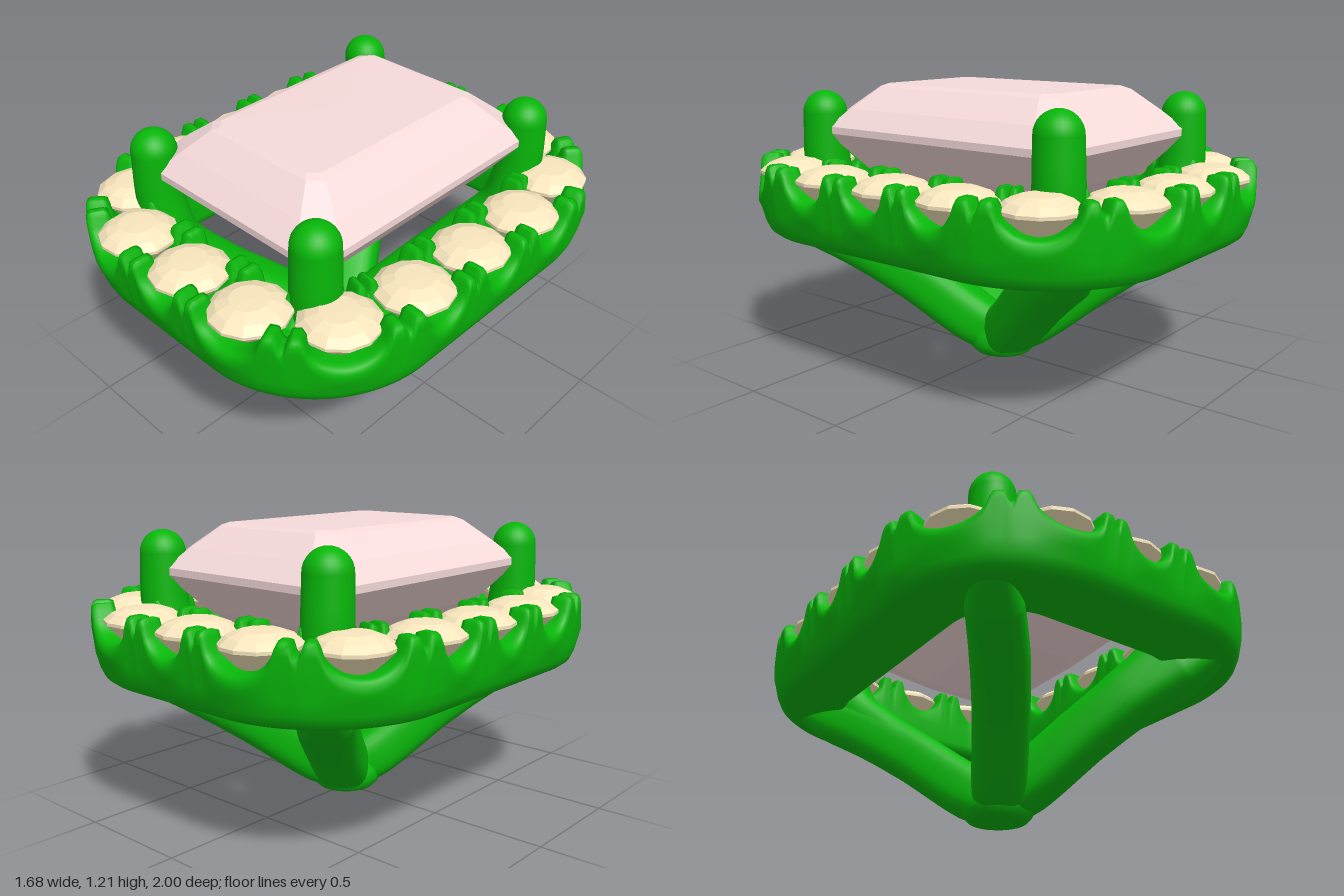
import * as THREE from 'three';

const green = new THREE.MeshStandardMaterial({ color: 0x08b60a });
const pink = new THREE.MeshStandardMaterial({ color: 0xf6dada, flatShading: true });
const cream = new THREE.MeshStandardMaterial({ color: 0xf8e6bd, flatShading: true });

// Halo centre line: a rounded rectangle with 16 evenly spaced stones
const CX = 0.26, CZ = 0.42, R = 0.41;
const ARC = R * Math.PI / 2, QUARTER = CX + CZ + ARC, PITCH = QUARTER / 4;

// Position and outward normal of the halo line at length s
function haloPoint(s) {
  const q = Math.floor(s / QUARTER + 1e-9) % 4;
  let l = s - q * QUARTER;
  if (q % 2) l = QUARTER - l;
  const a = THREE.MathUtils.clamp((l - CZ) / R, 0, Math.PI / 2);
  const nx = Math.cos(a), nz = Math.sin(a);
  const x = CX + R * nx - Math.max(0, l - CZ - ARC);
  const z = Math.min(l, CZ) + R * nz;
  const sx = q === 1 || q === 2 ? -1 : 1, sz = q > 1 ? -1 : 1;
  return { x: x * sx, z: z * sz, nx: nx * sx, nz: nz * sz };
}

// Surface from a grid of points, closed around u and optionally around v
function gridSurface(nu, nv, closeV, point) {
  const pos = [], idx = [];
  for (let i = 0; i < nu; i++) for (let j = 0; j < nv; j++) pos.push(...point(i, j));
  for (let i = 0; i < nu; i++) {
    for (let j = 0; j < (closeV ? nv : nv - 1); j++) {
      const k = (i + 1) % nu, m = (j + 1) % nv;
      const a = i * nv + j, b = i * nv + m, c = k * nv + m, d = k * nv + j;
      idx.push(a, b, d, b, c, d);
    }
  }
  const g = new THREE.BufferGeometry();
  g.setAttribute('position', new THREE.Float32BufferAttribute(pos, 3));
  g.setIndex(idx);
  g.computeVertexNormals();
  return g;
}

// Height of the halo's top: round scooped seats, twin bead prongs and a slit between them
function haloTop(s, t) {
  const a = Math.abs(s - Math.round(s / PITCH) * PITCH), step = THREE.MathUtils.smoothstep;
  const scoop = 1 - Math.sqrt(1 - Math.min(a / 0.112, 1) ** 2);
  const prong = scoop * step(Math.abs(t), 0.05, 0.085);
  return 0.765 + 0.13 * prong * (1 - 0.4 * step(a, 0.145, 0.162));
}

function haloGeometry() {
  // Each entry: offset across the band, height, and whether height is relative to the top
  const profile = [[0.08, 0.58], [0.108, 0.583], [0.13, 0.6], [0.146, 0.635], [0.16, 0.69],
    [0.17, -0.05, true], [0.168, -0.025, true], [0.16, -0.008, true]];
  for (let k = 0; k <= 18; k++) profile.push([0.145 - 0.29 * k / 18, 0, true]);
  profile.push([-0.16, -0.008, true], [-0.168, -0.03, true], [-0.17, 0.7], [-0.169, 0.62],
    [-0.163, 0.592], [-0.145, 0.58]);
  const n = 16 * 36;
  return gridSurface(n, profile.length, true, (i, j) => {
    const s = i / n * QUARTER * 4, p = haloPoint(s);
    const [t, y, top] = profile[j];
    return [p.x + p.nx * t, top ? haloTop(s, t) + y : y, p.z + p.nz * t];
  });
}

// Step-cut stone lofted through rectangles with clipped corners
function centerStoneGeometry() {
  // half width, half depth, corner clip, height
  const levels = [[0, 0, 0, 0.54], [0.22, 0.3, 0.05, 0.69], [0.38, 0.52, 0.08, 0.84],
    [0.5, 0.66, 0.1, 0.995], [0.5, 0.66, 0.1, 1.025], [0.43, 0.58, 0.09, 1.1],
    [0.315, 0.475, 0.05, 1.188], [0.28, 0.45, 0.04, 1.2], [0, 0, 0, 1.203]];
  return gridSurface(8, levels.length, false, (i, j) => {
    const [w, d, c, y] = levels[j];
    const ring = [[w, d - c], [w - c, d], [c - w, d], [-w, d - c],
      [-w, c - d], [c - w, -d], [w - c, -d], [w, c - d]];
    return [ring[i][0], y, ring[i][1]];
  });
}

// Sweep along x, y, z, radius, squareness stations, mirrored by sx and sz
function strutGeometry(stations, sx, sz) {
  const path = new THREE.CatmullRomCurve3(
    stations.map(([x, y, z]) => new THREE.Vector3(x * sx, y, z * sz)));
  const side = new THREE.Vector3(-0.8 * sz, 0, 0.6 * sx);
  const steps = 48, around = 32;
  return gridSurface(around, steps + 1, false, (i, j) => {
    const u = j / steps, f = u * (stations.length - 1);
    const k = Math.min(Math.floor(f), stations.length - 2);
    const mix = n => THREE.MathUtils.lerp(stations[k][n], stations[k + 1][n], f - k);
    const a = i / around * Math.PI * 2, c = Math.cos(a), s = Math.sin(a), p = mix(4);
    const r = mix(3) / (Math.abs(c) ** p + Math.abs(s) ** p) ** (1 / p);
    const up = side.clone().cross(path.getTangent(u)).normalize();
    return path.getPoint(u).addScaledVector(side, r * c).addScaledVector(up, r * s).toArray();
  });
}

export function createModel() {
  const model = new THREE.Group();
  const add = (name, geometry, material, parent = model) => {
    const mesh = new THREE.Mesh(geometry, material);
    mesh.name = name;
    parent.add(mesh);
    return mesh;
  };
  const lathe = (pts, n) => new THREE.LatheGeometry(pts.map(p => new THREE.Vector2(...p)), n);

  add('haloBand', haloGeometry(), green);
  add('centerStone', centerStoneGeometry(), pink);

  // Round accent stones set in the halo
  const stones = new THREE.Group();
  stones.name = 'accentStones';
  model.add(stones);
  const stone = lathe([[0, 0.68], [0.08, 0.755], [0.157, 0.835], [0.157, 0.848],
    [0.125, 0.874], [0.075, 0.893], [0, 0.895]], 12);
  for (let i = 0; i < 16; i++) {
    const p = haloPoint(i * PITCH);
    const mesh = add('accentStone', stone, cream, stones);
    mesh.position.set(p.x, 0, p.z);
    mesh.rotation.y = Math.atan2(p.nx, p.nz);
  }

  // Four struts rising from the foot into the claws, each with a flare under the halo
  const strut = [[0, 0.09, 0, 0.105, 3], [0.07, 0.155, 0.11, 0.115, 3],
    [0.195, 0.32, 0.3, 0.115, 3], [0.32, 0.48, 0.475, 0.115, 3], [0.42, 0.64, 0.59, 0.108, 2.5],
    [0.455, 0.84, 0.62, 0.1, 2], [0.46, 1.08, 0.62, 0.094, 2]];
  const flare = [[0.195, 0.32, 0.3, 0.113, 3], [0.335, 0.475, 0.49, 0.115, 3],
    [0.47, 0.585, 0.65, 0.11, 3], [0.56, 0.655, 0.76, 0.075, 2.5]];
  for (const sx of [1, -1]) for (const sz of [1, -1]) {
    const group = new THREE.Group();
    group.name = (sz > 0 ? 'front' : 'back') + (sx > 0 ? 'Left' : 'Right') + 'Strut';
    model.add(group);
    add('strutAndClaw', strutGeometry(strut, sx, sz), green, group);
    add('strutFlare', strutGeometry(flare, sx, sz), green, group);
    add('clawTip', new THREE.SphereGeometry(0.094, 24, 16), green, group)
      .position.set(0.46 * sx, 1.08, 0.62 * sz);
  }

  // Foot where the struts meet
  add('foot', lathe([[0, 0], [0.09, 0.002], [0.125, 0.01], [0.145, 0.03], [0.155, 0.06],
    [0.15, 0.1], [0.1, 0.18], [0, 0.24]], 32), green);
  return model;
}
